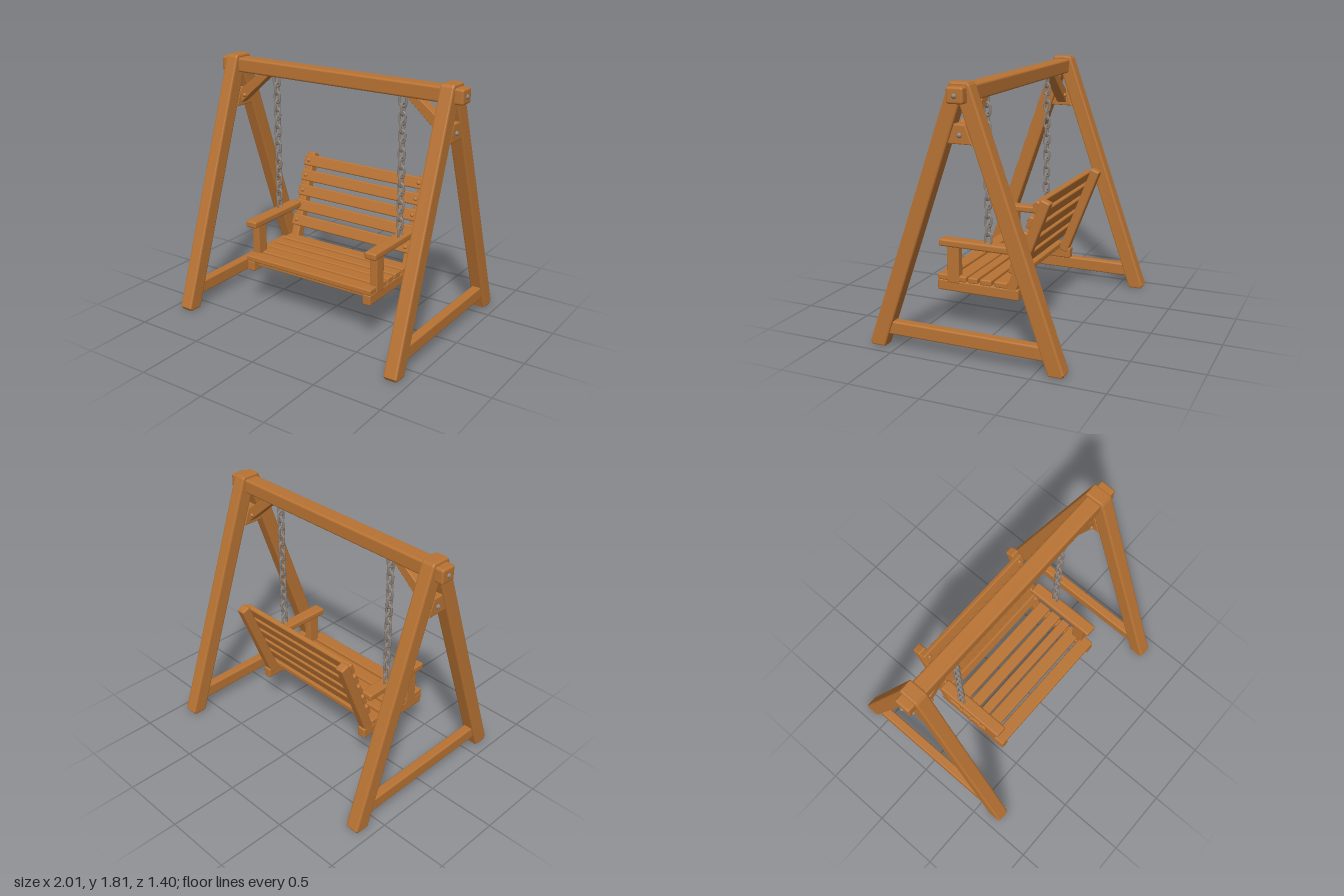
import * as THREE from 'three';
import { RoundedBoxGeometry } from 'three/addons/geometries/RoundedBoxGeometry.js';

const wood = new THREE.MeshStandardMaterial({ color: 0xb87333 });
wood.name = 'wood';
const steel = new THREE.MeshStandardMaterial({ color: 0x8a8078 });
steel.name = 'steel';

function add(parent, name, geometry, material = wood) {
  const mesh = new THREE.Mesh(geometry, material);
  mesh.name = name;
  parent.add(mesh);
  return mesh;
}

// Timber with softened edges, given by its limits on each axis
function timber(parent, name, [x0, x1], [y0, y1], [z0, z1], r = 0.012) {
  const mesh = add(parent, name, new RoundedBoxGeometry(x1 - x0, y1 - y0, z1 - z0, 2, r));
  mesh.position.set((x0 + x1) / 2, (y0 + y1) / 2, (z0 + z1) / 2);
  return mesh;
}

// Bevelled board cut to an outline, centred on its thickness
function board(points, thickness, bevel = 0.012) {
  const shape = new THREE.Shape(points.map(([x, y]) => new THREE.Vector2(x, y)));
  const geometry = new THREE.ExtrudeGeometry(shape, {
    depth: thickness - 2 * bevel, bevelThickness: bevel, bevelSize: bevel,
    bevelOffset: -bevel, bevelSegments: 2,
  });
  return geometry.translate(0, 0, bevel - thickness / 2);
}

// Domed bolt head facing a direction
function bolt(parent, x, y, z, direction, material = wood, radius = 0.016) {
  const dome = new THREE.SphereGeometry(radius, 12, 6, 0, Math.PI * 2, 0, Math.PI / 2);
  const mesh = add(parent, 'bolt', dome, material);
  mesh.position.set(x, y, z);
  mesh.quaternion.setFromUnitVectors(new THREE.Vector3(0, 1, 0), direction);
}

function createFrame() {
  const frame = new THREE.Group();
  frame.name = 'frame';
  timber(frame, 'topBeam', [-0.99, 0.99], [1.685, 1.79], [-0.058, 0.058], 0.016);

  const legOutline = [[0.59, 0], [0.685, 0], [0.7, 0.025], [0.075, 1.795], [0.062, 1.812],
    [-0.03, 1.812], [-0.03, 1.765]];
  const plateOutline = [[-0.085, 1.43], [0.085, 1.43], [0.04, 1.555], [-0.04, 1.555]];
  for (const side of [-1, 1]) {
    const x = side * 0.88;
    // A-shaped end: two legs, stretcher and spacer
    for (const turn of [-1, 1]) {
      const leg = add(frame, turn > 0 ? 'frontLeg' : 'backLeg', board(legOutline, 0.1));
      leg.rotation.y = -turn * Math.PI / 2;
      leg.position.x = x;
    }
    timber(frame, 'stretcher', [x - 0.035, x + 0.035], [0.09, 0.185], [-0.575, 0.575]);
    const plate = add(frame, 'spacerBlock', board(plateOutline, 0.09, 0.008));
    plate.rotation.y = -Math.PI / 2;
    plate.position.x = x;
    const outward = new THREE.Vector3(side, 0, 0);
    bolt(frame, side * 0.985, 1.735, 0, outward, steel, 0.018);
    bolt(frame, side * 0.924, 1.487, 0, outward, steel, 0.018);

    // Diagonal brace below the beam
    const brace = add(frame, 'brace',
      board([[0.555, 1.7], [0.84, 1.45], [0.84, 1.555], [0.65, 1.7]], 0.075, 0.006));
    if (side < 0) brace.rotation.y = Math.PI;
    for (const z of [-1, 1]) bolt(frame, side * 0.8, 1.515, z * 0.037, new THREE.Vector3(0, 0, z));
  }
  return frame;
}

function createChain(x) {
  const chain = new THREE.Group();
  chain.name = 'chain';
  chain.position.x = x;
  // Long oval link in the front plane
  const points = [];
  for (let i = 0; i < 12; i++) {
    const a = (i + 0.5) / 12 * Math.PI * 2;
    points.push(new THREE.Vector3(0.021 * Math.cos(a),
      0.021 * Math.sin(a) + 0.021 * Math.sign(Math.sin(a)), 0));
  }
  const link = new THREE.TubeGeometry(new THREE.CatmullRomCurve3(points, true), 28, 0.0085, 8, true);
  for (let i = 0; i < 16; i++) {
    const mesh = add(chain, 'chainLink', link, steel);
    mesh.position.y = 0.716 + 0.0625 * i;
    mesh.rotation.y = i % 2 ? 0 : Math.PI / 2;
    if (i === 15) mesh.scale.set(1.2, 1.1, 1);
  }
  return chain;
}

function createBench() {
  const bench = new THREE.Group();
  bench.name = 'bench';

  // Seat rails, arm posts and armrests
  for (const s of [-1, 1]) {
    const span = (a, b) => (s > 0 ? [a, b] : [-b, -a]);
    timber(bench, 'seatRail', span(0.468, 0.533), [0.305, 0.385], [-0.22, 0.39]);
    timber(bench, 'armPost', span(0.478, 0.538), [0.37, 0.645], [0.22, 0.312], 0.008);
    timber(bench, 'armrest', span(0.465, 0.557), [0.63, 0.682], [-0.19, 0.365], 0.014);
  }
  timber(bench, 'apron', [-0.475, 0.475], [0.333, 0.39], [0.3, 0.335], 0.006);

  // Seat slats, from front to back
  for (const [z0, z1] of [[0.29, 0.39], [0.17, 0.27], [0.085, 0.157], [-0.02, 0.065], [-0.14, -0.04]]) {
    timber(bench, 'seatSlat', [-0.533, 0.533], [0.38, 0.422], [z0, z1], 0.01);
  }

  // Reclined back, built upright and then tilted
  const back = new THREE.Group();
  back.name = 'backrest';
  back.position.set(0, 0.36, -0.16);
  back.rotation.x = -0.365;
  for (const x of [-0.498, 0.498]) {
    timber(back, 'backPost', [x - 0.034, x + 0.034], [0, 0.7], [-0.036, 0.036]);
  }
  for (let i = 0; i < 5; i++) {
    const y = 0.165 + i * 0.117;
    timber(back, 'backSlat', [-0.525, 0.525], [y - 0.043, y + 0.043], [0.03, 0.068], 0.01);
    for (const x of [-0.485, 0.485]) bolt(back, x, y, 0.066, new THREE.Vector3(0, 0, 1));
  }
  bench.add(back);
  return bench;
}

export function createModel() {
  const model = new THREE.Group();
  model.name = 'gardenSwing';
  model.add(createFrame(), createBench(), createChain(-0.525), createChain(0.525));
  return model;
}
